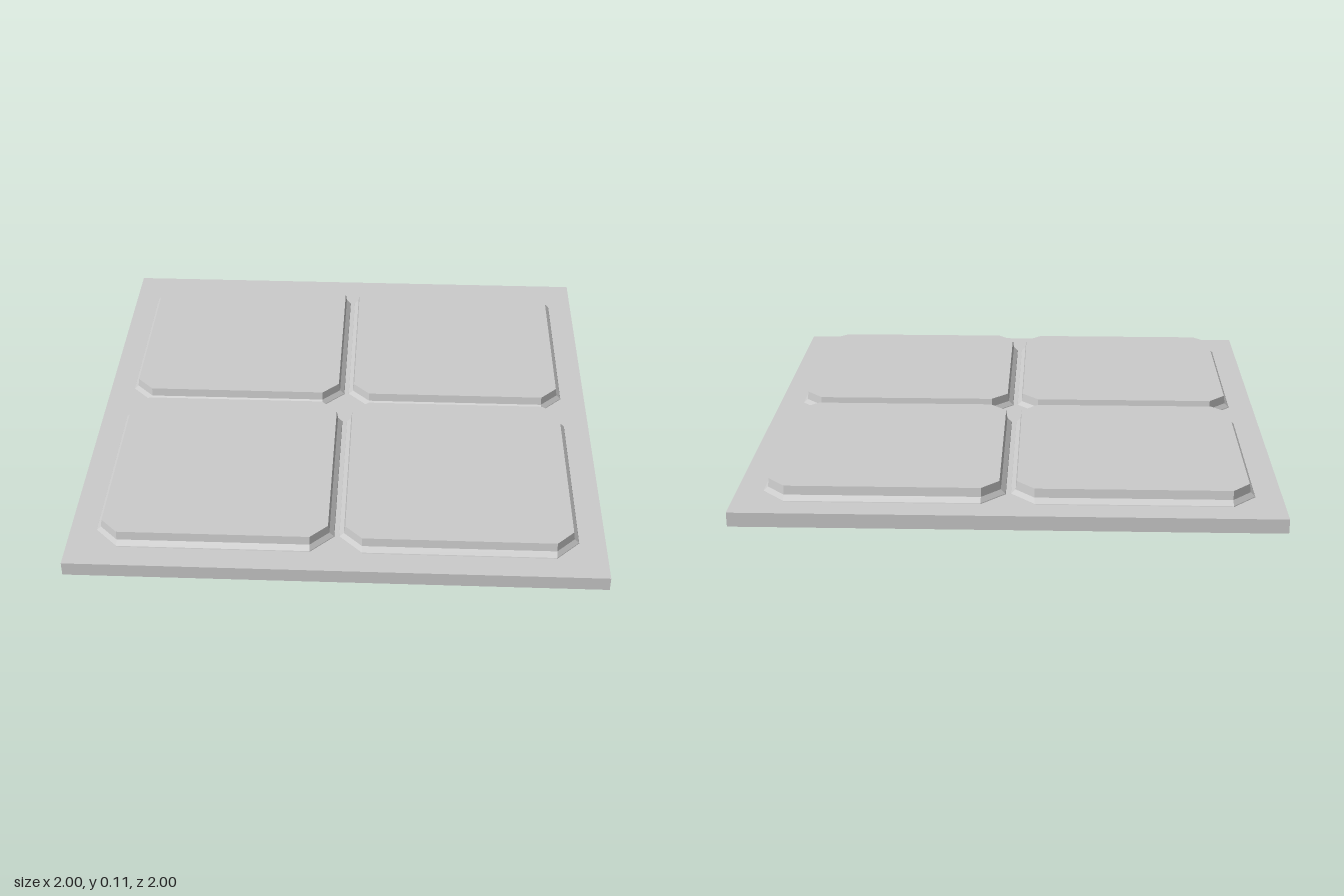
import * as THREE from 'three';

const BASE_H = 0.055;

// Octagonal outline: square of half size h with its corners cut off at c
function outline(h, c, y) {
  return [[h, -c], [h, c], [c, h], [-c, h], [-h, c], [-h, -c], [-c, -h], [c, -h]]
    .map(([x, z]) => new THREE.Vector3(x, y, -z));
}

// Closed solid lofted through outlines stacked from bottom to top
function loft(rings) {
  const tris = [];
  const n = rings[0].length;
  for (let r = 0; r < rings.length - 1; r++) {
    const a = rings[r], b = rings[r + 1];
    for (let i = 0; i < n; i++) {
      const j = (i + 1) % n;
      tris.push(a[i], a[j], b[j], a[i], b[j], b[i]);
    }
  }
  const top = rings[rings.length - 1], bottom = rings[0];
  for (let i = 1; i < n - 1; i++) {
    tris.push(top[0], top[i], top[i + 1], bottom[0], bottom[i + 1], bottom[i]);
  }
  const geo = new THREE.BufferGeometry().setFromPoints(tris);
  geo.computeVertexNormals();
  return geo;
}

export function createModel() {
  const model = new THREE.Group();
  model.name = 'tiledPanel';
  const material = new THREE.MeshStandardMaterial({ color: 0xcccccc, flatShading: true });

  // Flat square slab
  const base = new THREE.Mesh(new THREE.BoxGeometry(2, BASE_H, 2), material);
  base.position.y = BASE_H / 2;
  base.name = 'baseSlab';
  model.add(base);

  // Four raised tiles: sloped foot, then a steep wall up to the flat top
  const profile = [[0.447, BASE_H - 0.002], [0.445, 0.058], [0.428, 0.075], [0.423, 0.108]];
  const tileGeo = loft(profile.map(([h, y]) => outline(h, 0.358, y)));
  for (const [x, sideName] of [[-0.455, 'Right'], [0.455, 'Left']]) {
    for (const [z, endName] of [[-0.455, 'back'], [0.455, 'front']]) {
      const tile = new THREE.Mesh(tileGeo, material);
      tile.position.set(x, 0, z);
      tile.name = `${endName}${sideName}Tile`;
      model.add(tile);
    }
  }
  return model;
}
